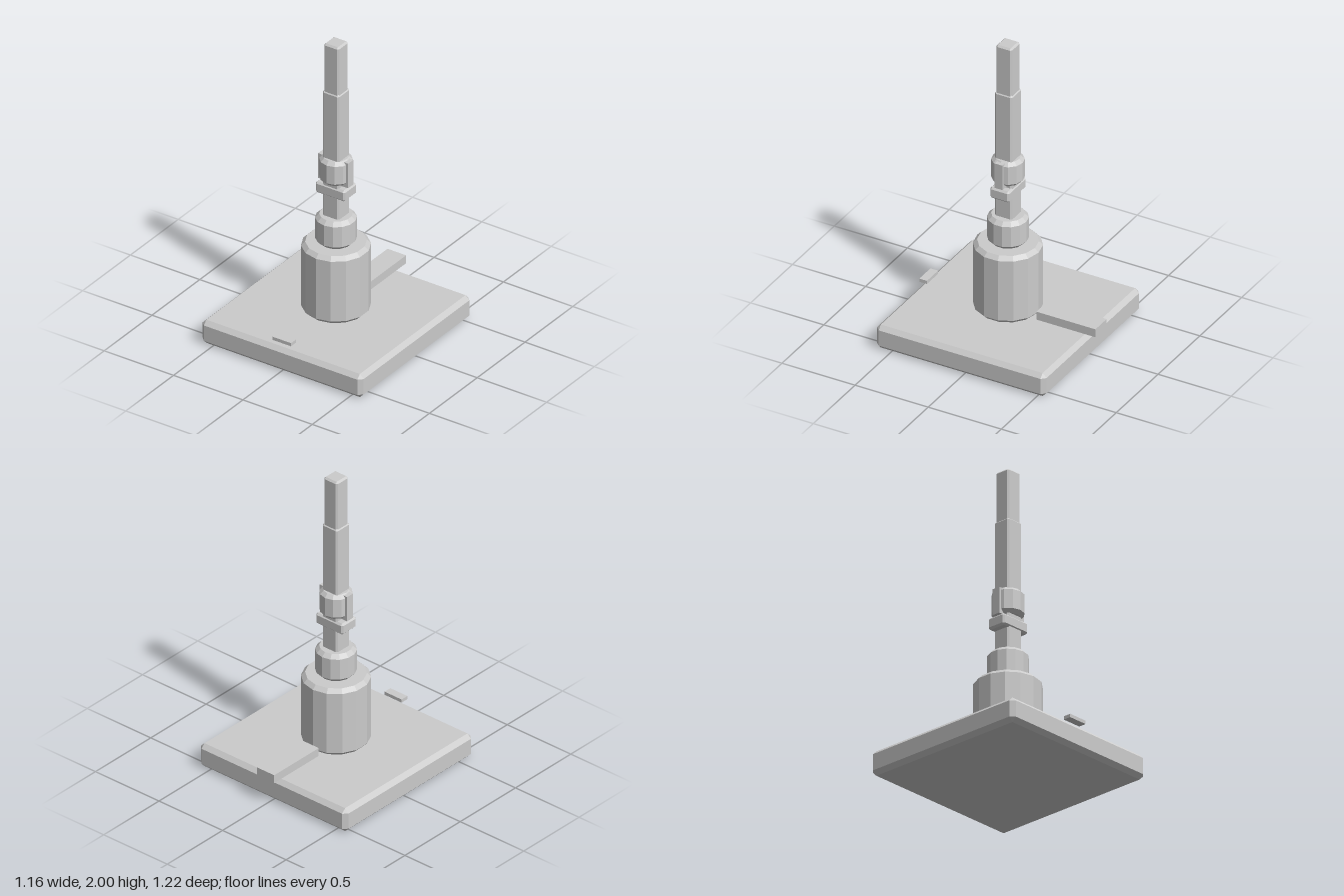
import * as THREE from 'three';
import { ConvexGeometry } from 'three/addons/geometries/ConvexGeometry.js';

const Z = 0.026; // axis of the column and base

export function createModel() {
  const group = new THREE.Group();
  const material = new THREE.MeshStandardMaterial({ color: 0xcccccc, flatShading: true });

  function add(name, geometry, x, y, z) {
    const mesh = new THREE.Mesh(geometry, material);
    mesh.name = name;
    mesh.position.set(x, y, z);
    group.add(mesh);
  }

  // box with all edges and corners cut; w, d are half sizes
  function chamferBox(name, w, y0, y1, d, c) {
    const h = (y1 - y0) / 2;
    const points = [];
    for (const sx of [-1, 1]) for (const sy of [-1, 1]) for (const sz of [-1, 1]) {
      points.push(
        new THREE.Vector3(sx * w, sy * (h - c), sz * (d - c)),
        new THREE.Vector3(sx * (w - c), sy * h, sz * (d - c)),
        new THREE.Vector3(sx * (w - c), sy * (h - c), sz * d));
    }
    add(name, new ConvexGeometry(points), 0, (y0 + y1) / 2, Z);
  }

  // faceted cylinder with cut rims
  function chamferCylinder(name, r, y0, y1, c, sides) {
    const profile = [[0, y0], [r - c, y0], [r, y0 + c], [r, y1 - c], [r - c, y1], [0, y1]]
      .map(([x, y]) => new THREE.Vector2(x, y));
    add(name, new THREE.LatheGeometry(profile, sides), 0, 0, Z);
  }

  // base and stepped drum
  chamferBox('base', 0.58, 0.005, 0.165, 0.58, 0.027);
  chamferCylinder('drum', 0.209, 0.165, 0.628, 0.025, 14);
  chamferCylinder('neck', 0.125, 0.628, 0.817, 0.025, 14);

  // square shaft in two steps
  chamferBox('shaft', 0.06, 0.78, 1.675, 0.06, 0.011);
  chamferBox('shaftTip', 0.054, 1.64, 2, 0.054, 0.011);

  // collar and ring with its side lugs
  chamferBox('collar', 0.107, 0.957, 1.033, 0.066, 0.012);
  chamferCylinder('ring', 0.1, 1.05, 1.217, 0.022, 12);
  for (const s of [-1, 1]) {
    add(s > 0 ? 'leftLug' : 'rightLug', new THREE.BoxGeometry(0.06, 0.17, 0.054), s * 0.078, 1.125, Z + 0.003);
  }

  // rear bar and front tab
  add('rearBar', new THREE.BoxGeometry(0.134, 0.055, 0.403), 0, 0.207, -0.4085);
  add('frontTab', new THREE.BoxGeometry(0.134, 0.022, 0.052), 0, 0.209, 0.568);

  return group;
}
